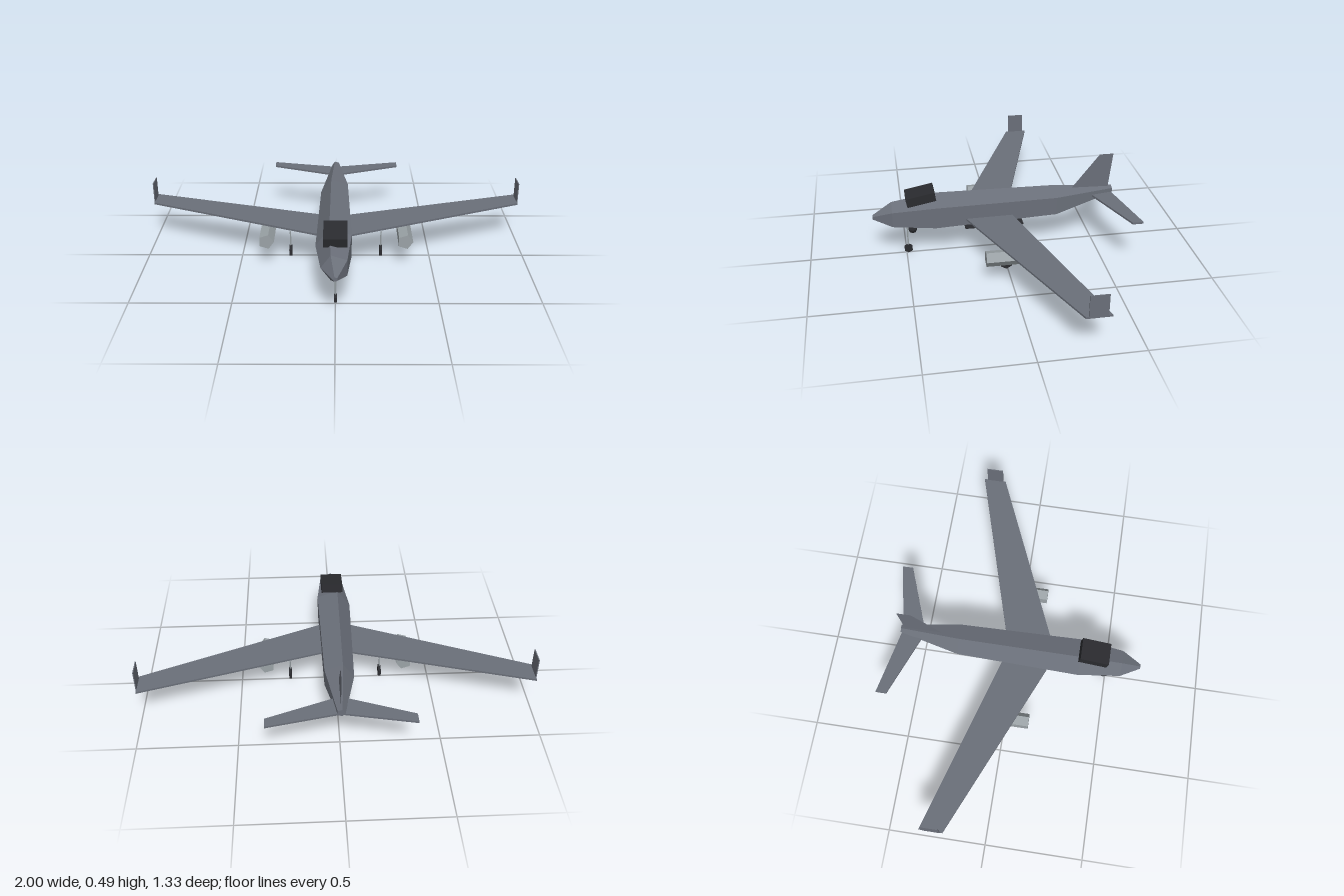
import * as THREE from 'three';

const flat = (name, color) => {
  const m = new THREE.MeshStandardMaterial({ color, flatShading: true });
  m.name = name;
  return m;
};

// Five-sided hull lofted through [z, centre y, radius] sections, nose to tail
function loft(sections, sides = 5) {
  const pos = [];
  const point = ([z, y, r], i) => {
    const a = Math.PI + (i / sides) * Math.PI * 2;
    return [r * Math.cos(a), y + r * Math.sin(a), z];
  };
  const tri = (a, b, c) => pos.push(...a, ...b, ...c);
  const first = sections[0], last = sections[sections.length - 1];
  for (let i = 0; i < sides; i++) {
    for (let s = 0; s < sections.length - 1; s++) {
      const f0 = point(sections[s], i), f1 = point(sections[s], i + 1);
      const b0 = point(sections[s + 1], i), b1 = point(sections[s + 1], i + 1);
      tri(f0, b0, b1);
      tri(f0, b1, f1);
    }
    tri([0, first[1], first[0]], point(first, i), point(first, i + 1));
    tri([0, last[1], last[0]], point(last, i + 1), point(last, i));
  }
  const g = new THREE.BufferGeometry();
  g.setAttribute('position', new THREE.Float32BufferAttribute(pos, 3));
  g.computeVertexNormals();
  return g;
}

// Horizontal plate from [x, z] corners, rising from height y
function plate(corners, y, thickness) {
  const shape = new THREE.Shape(corners.map(([x, z]) => new THREE.Vector2(x, -z)));
  const g = new THREE.ExtrudeGeometry(shape, { depth: thickness, bevelEnabled: false });
  return g.rotateX(-Math.PI / 2).translate(0, y, 0);
}

export function createModel() {
  const model = new THREE.Group();
  const body = flat('slate grey', 0x6a6f79);
  const metal = flat('light grey metal', 0x9aa2a6);
  const dark = flat('near black', 0x2a2b2f);
  const finSkin = body;
  finSkin.side = THREE.DoubleSide;

  const add = (name, geometry, material, x = 0, y = 0, z = 0) => {
    const mesh = new THREE.Mesh(geometry, material);
    mesh.name = name;
    mesh.position.set(x, y, z);
    model.add(mesh);
    return mesh;
  };

  // Fuselage
  add('fuselage', loft([
    [0.665, 0.225, 0.012],
    [0.565, 0.23, 0.069],
    [0.345, 0.233, 0.098],
    [-0.29, 0.242, 0.082],
    [-0.6, 0.285, 0.021],
  ]), body);

  // Tilted cockpit block, belly panel and chin sensor
  add('cockpit', new THREE.BoxGeometry(0.115, 0.048, 0.15), dark, 0, 0.333, 0.416).rotation.x = 0.19;
  add('bellyPanel', new THREE.BoxGeometry(0.08, 0.004, 0.31), dark, 0, 0.136, 0.035);
  add('chinSensor', new THREE.SphereGeometry(0.025, 6, 4), dark, 0, 0.14, 0.463);

  // Tail fin, a single thin sheet
  const fin = new THREE.Shape([
    new THREE.Vector2(0.381, 0.305), new THREE.Vector2(0.58, 0.3),
    new THREE.Vector2(0.6, 0.491), new THREE.Vector2(0.527, 0.491),
  ]);
  add('tailFin', new THREE.ShapeGeometry(fin).rotateY(Math.PI / 2), finSkin);

  // Landing gear leg with a six-sided wheel
  const gear = (name, x, z, r, top, strutR) => {
    const wheel = new THREE.CylinderGeometry(r, r, 0.014, 6, 1, false, Math.PI / 2).rotateZ(Math.PI / 2);
    add(name + 'Wheel', wheel, dark, x, r, z);
    add(name + 'Strut', new THREE.CylinderGeometry(strutR, strutR, top - r, 5), metal, x, (top + r) / 2, z);
  };
  gear('nose', 0, 0.49, 0.024, 0.16, 0.004);

  // Mirrored parts
  for (const [side, s] of [['left', 1], ['right', -1]]) {
    add(side + 'Wing', plate(
      [[0.07 * s, 0.19], [0.998 * s, -0.205], [0.998 * s, -0.325], [0.07 * s, -0.053]], 0.205, 0.01), body);
    add(side + 'Winglet', new THREE.BoxGeometry(0.005, 0.115, 0.088), body, 0.9975 * s, 0.265, -0.262);
    add(side + 'Tailplane', plate(
      [[0.01 * s, -0.477], [0.357 * s, -0.61], [0.357 * s, -0.665], [0.01 * s, -0.593]], 0.266, 0.01), body);
    add(side + 'Engine',
      new THREE.CylinderGeometry(0.041, 0.041, 0.2, 5, 1, false, Math.PI / 2).rotateX(Math.PI / 2),
      metal, 0.36 * s, 0.143, 0.029);
    gear(side + 'Main', 0.24 * s, 0.007, 0.033, 0.145, 0.004);
  }
  return model;
}
